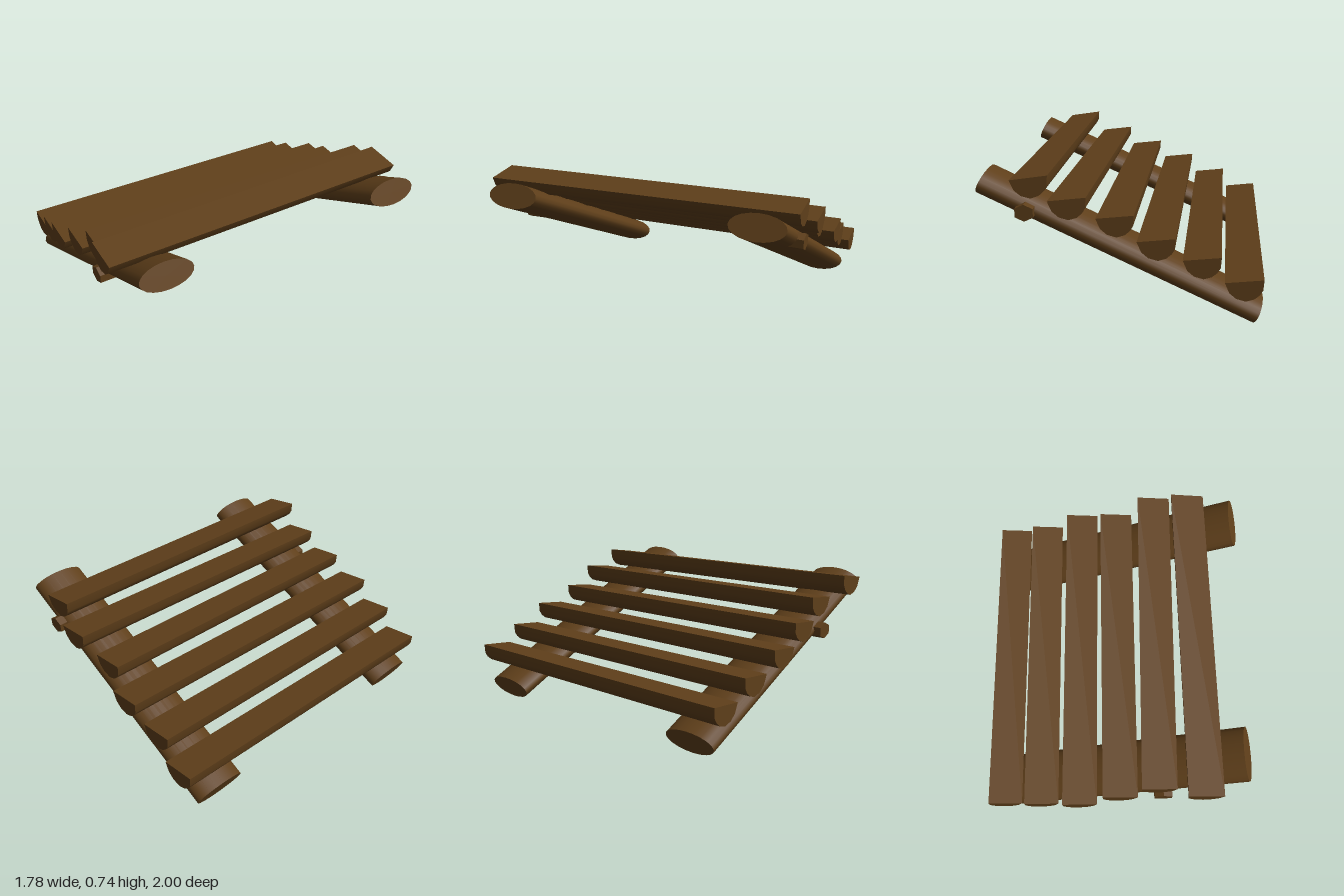
import * as THREE from 'three';
import { toCreasedNormals } from 'three/addons/utils/BufferGeometryUtils.js';

const V = (x, y, z) => new THREE.Vector3(x, y, z);

export function createModel() {
  const model = new THREE.Group();
  const wood = new THREE.MeshStandardMaterial({ color: 0x5f3f1a });

  function add(name, geometry) {
    const mesh = new THREE.Mesh(geometry, wood);
    mesh.name = name;
    model.add(mesh);
  }

  // Elliptical bar between two points: a is the level half-width, b the half-thickness
  function bar(name, from, to, a, b, sides) {
    const axis = to.clone().sub(from);
    const wide = V(-axis.z, 0, axis.x).normalize();
    const thick = wide.clone().cross(axis).normalize();
    const matrix = new THREE.Matrix4()
      .makeBasis(wide.multiplyScalar(a), axis, thick.multiplyScalar(b))
      .setPosition(from.clone().add(to).multiplyScalar(0.5));
    let geometry = new THREE.CylinderGeometry(1, 1, 1, sides).applyMatrix4(matrix);
    if (sides < 8) geometry = toCreasedNormals(geometry, 0.4);
    add(name, geometry);
  }

  // Two flattened logs, sloping up towards +x
  bar('frontLog', V(-0.825, 0.08, 0.455), V(0.45, 0.675, 0.83), 0.14, 0.066, 20);
  bar('backLog', V(-0.43, 0.068, -0.805), V(0.84, 0.683, -0.422), 0.14, 0.066, 20);

  // Six-sided pegs poking out of the outer side of each log
  bar('frontPeg', V(0.04, 0.465, 0.74), V(0.0, 0.465, 0.88), 0.053, 0.042, 6);
  bar('backPeg', V(0.63, 0.57, -0.5), V(0.673, 0.565, -0.65), 0.05, 0.042, 6);

  // Split-wood section: flat top, rounded underside (width 1, depth in units)
  const section = new THREE.Shape([
    [0, 0], [0.02, -0.05], [0.1, -0.073], [0.24, -0.092], [0.45, -0.1],
    [0.7, -0.083], [0.88, -0.052], [1, 0],
  ].map(([x, y]) => new THREE.Vector2(x, y)));

  // Slats: left edge at the back (x, z), left edge at the front (x, z), top height, roll
  const slats = [
    [-0.39, -1.0, -0.895, 0.6, 0.287, 0.02],
    [-0.21, -0.915, -0.705, 0.677, 0.378, 0.02],
    [0.0, -0.875, -0.513, 0.757, 0.47, 0.02],
    [0.175, -0.77, -0.305, 0.8, 0.56, 0.02],
    [0.395, -0.755, -0.11, 0.835, 0.655, 0.022],
    [0.56, -0.665, 0.087, 0.95, 0.744, 0.027],
  ];
  slats.forEach(([bx, bz, fx, fz, top, roll], i) => {
    const matrix = new THREE.Matrix4()
      .makeBasis(V(0.173, -roll, 0.05), V(0, 1, 0), V(fx - bx, 0, fz - bz))
      .setPosition(bx, top, bz);
    const geometry = new THREE.ExtrudeGeometry(section, { depth: 1, bevelEnabled: false });
    add('slat' + (i + 1), toCreasedNormals(geometry.applyMatrix4(matrix), 0.8));
  });

  return model;
}
